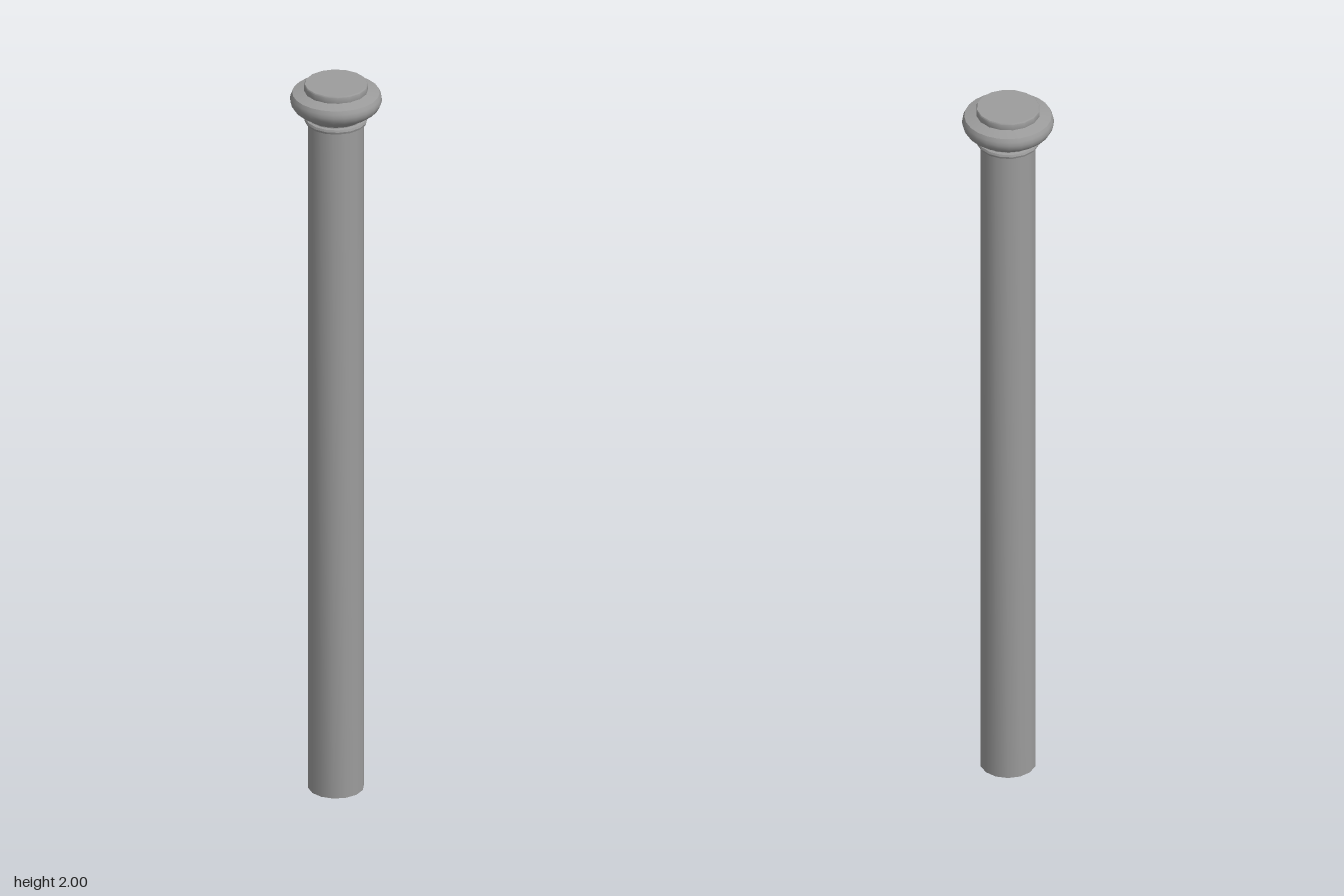
import * as THREE from 'three';
import { toCreasedNormals } from 'three/addons/utils/BufferGeometryUtils.js';

const material = new THREE.MeshStandardMaterial({ color: 0x9c9c9c });

// Turned part from [radius, height] pairs, listed bottom to top
function turned(name, sides, profile) {
  const points = profile.map(([r, y]) => new THREE.Vector2(r, y));
  const geometry = new THREE.LatheGeometry(points, sides, Math.PI / 2);
  const mesh = new THREE.Mesh(toCreasedNormals(geometry, 0.6), material);
  mesh.name = name;
  return mesh;
}

export function createModel() {
  const column = new THREE.Group();
  column.name = 'column';

  // Long plain shaft, closed at the foot
  column.add(turned('shaft', 14, [[0, 0], [0.072, 0], [0.072, 1.92]]));

  // Thin collar below the capital
  column.add(turned('collar', 16, [
    [0.07, 1.89], [0.079, 1.892], [0.081, 1.898], [0.079, 1.904], [0.07, 1.906],
  ]));

  // Flared neck, bulging ring with a crease above and below, sloping shoulder
  column.add(turned('capital', 24, [
    [0.072, 1.908], [0.08, 1.915], [0.096, 1.924], [0.109, 1.934],
    [0.115, 1.944], [0.118, 1.955], [0.116, 1.965], [0.112, 1.974],
    [0.078, 1.982],
  ]));

  // Flat disc on top
  column.add(turned('topDisc', 16, [
    [0.08, 1.975], [0.082, 1.98], [0.082, 1.997], [0.08, 2], [0, 2],
  ]));

  return column;
}
